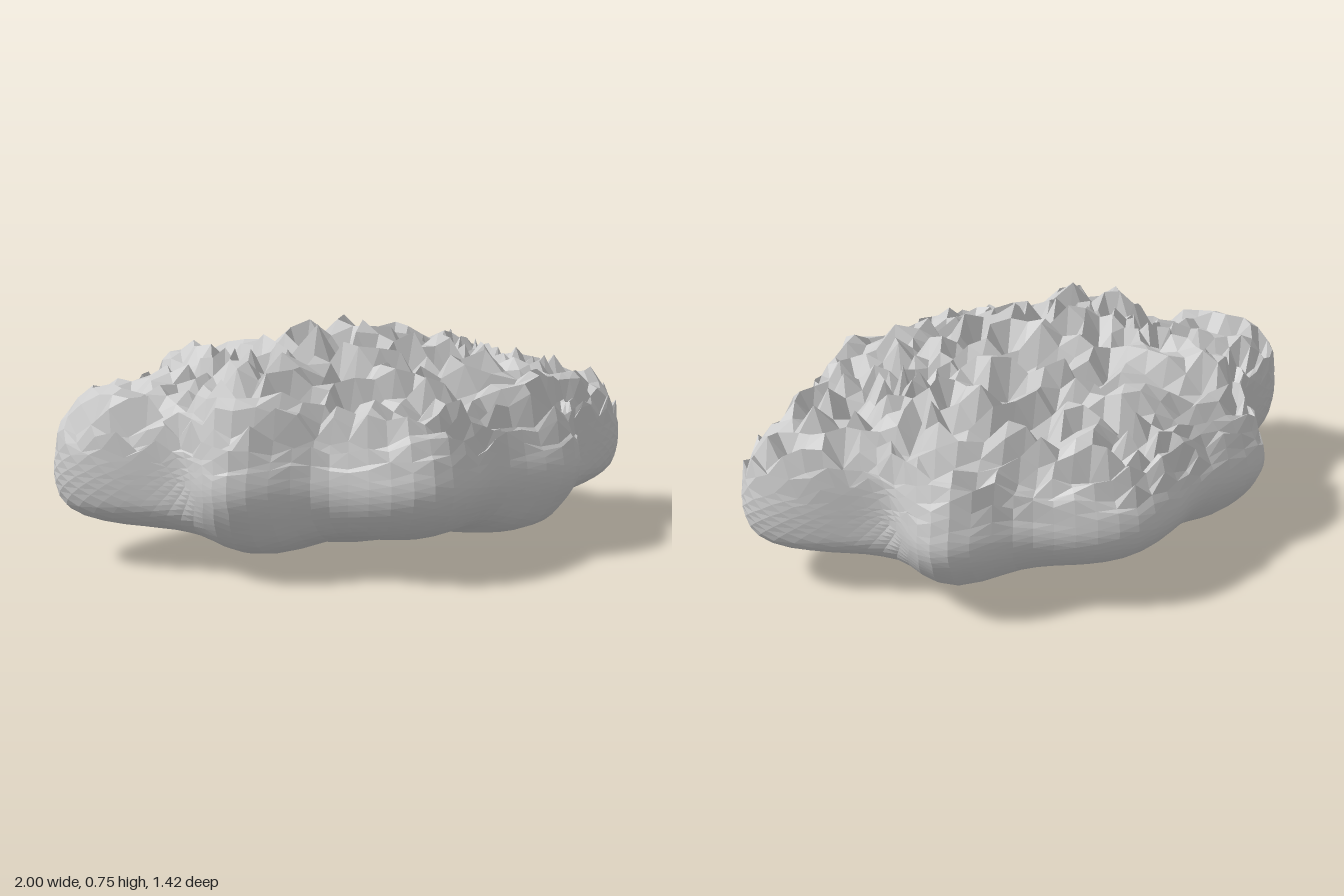
import * as THREE from 'three';
import { mergeVertices } from 'three/addons/utils/BufferGeometryUtils.js';

// Lobed plan outline: [angle in degrees from the x axis, radius factor]
const FRONT = [[0, 1], [32, 0.79], [51, 0.91], [67, 0.82], [90, 1]];
const BACK = [[0, 1], [33, 0.775], [54, 0.965], [68, 0.9], [90, 1.01]];

function outline(x, z) {
  const keys = z >= 0 ? FRONT : BACK;
  const deg = THREE.MathUtils.radToDeg(Math.atan2(Math.abs(z), Math.abs(x)));
  let i = 0;
  while (i < keys.length - 2 && deg > keys[i + 1][0]) i++;
  const [a, ra] = keys[i];
  const [b, rb] = keys[i + 1];
  return THREE.MathUtils.lerp(ra, rb, THREE.MathUtils.smoothstep(deg, a, b));
}

function seededRandom(seed) {
  return () => {
    seed = (seed * 1664525 + 1013904223) % 4294967296;
    return seed / 4294967296;
  };
}

const bump = (v, centre, width) => Math.exp(-(((v - centre) / width) ** 2));

// Flattened sphere with swelling lobes, smooth below and craggy above
function rockGeometry() {
  const sphere = new THREE.IcosahedronGeometry(1, 15);
  sphere.deleteAttribute('normal');
  sphere.deleteAttribute('uv');
  const geometry = mergeVertices(sphere, 1e-4);
  const pos = geometry.attributes.position;
  const random = seededRandom(17);
  const d = new THREE.Vector3();

  for (let i = 0; i < pos.count; i++) {
    d.fromBufferAttribute(pos, i).normalize();
    const h2 = d.x * d.x + d.z * d.z;
    const lat = THREE.MathUtils.radToDeg(Math.asin(THREE.MathUtils.clamp(Math.abs(d.y), 0, 1)));
    const angle = Math.atan2(d.z, d.x);
    const onAxis = Math.cos(2 * angle) ** 2;

    // side lobes and the narrow groove ringing each pole
    let f = 1 - (1 - outline(d.x, d.z)) * h2 - 0.09 * bump(lat, 68, 9);
    // hollows behind the axis lobes, swellings on the diagonal ones
    f -= 0.15 * onAxis * bump(lat, 53, 12);
    f += 0.07 * (1 - onAxis) * bump(lat, 45, 15);
    // fuller tips at the two ends
    f += 0.04 * Math.cos(angle) ** 4 * bump(lat, 25, 13);

    // random vertical spikes, growing towards the top
    const crag = THREE.MathUtils.smoothstep(d.y, 0.05, 0.4) * (0.25 + 0.75 * d.y);
    const lift = crag * (0.18 * random() - 0.02);
    pos.setXYZ(i, d.x * f, 0.3 + 0.3 * d.y * f + lift, 0.705 * d.z * f);
  }

  // one normal per facet
  const faceted = geometry.toNonIndexed();
  faceted.computeVertexNormals();
  return faceted;
}

export function createModel() {
  const group = new THREE.Group();
  group.name = 'floatingRock';
  const rock = new THREE.Mesh(
    rockGeometry(),
    new THREE.MeshStandardMaterial({ color: 0xcccccc, flatShading: true })
  );
  rock.name = 'lobedRock';
  group.add(rock);
  return group;
}
